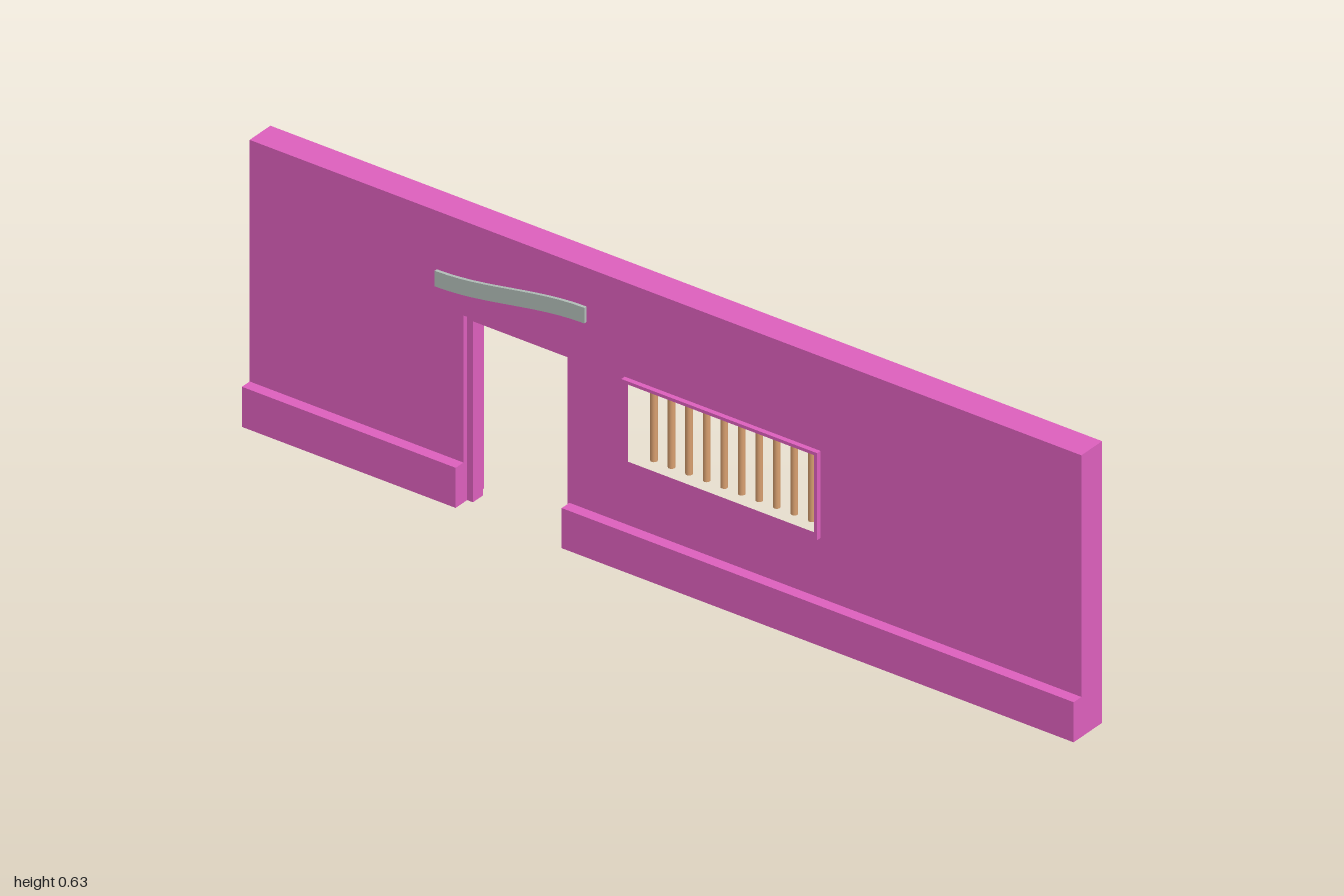
import * as THREE from 'three';

const pink = new THREE.MeshStandardMaterial({ color: 0xdd60bd });
const grey = new THREE.MeshStandardMaterial({ color: 0xb4c0ba });
const tan = new THREE.MeshStandardMaterial({ color: 0xd9a070 });

// Closed outline from [z, y] points; the shape plane looks along x
const outline = (points, Type = THREE.Shape) =>
  new Type(points.map(([z, y]) => new THREE.Vector2(-z, y)));

const rect = (z0, z1, y0, y1) => [[z0, y0], [z1, y0], [z1, y1], [z0, y1]];

// Slab with the given outline and holes, spanning x0 to x1
function slab(name, points, x0, x1, material, holes = []) {
  const shape = outline(points);
  shape.holes = holes.map((h) => outline(h, THREE.Path));
  const geometry = new THREE.ExtrudeGeometry(shape, { depth: x1 - x0, bevelEnabled: false });
  geometry.rotateY(Math.PI / 2).translate(x0, 0, 0);
  const mesh = new THREE.Mesh(geometry, material);
  mesh.name = name;
  return mesh;
}

export function createModel() {
  const group = new THREE.Group();
  group.name = 'wallWithDoorAndWindow';

  const back = -0.022, front = 0.045, height = 0.632;
  const door = { z0: -0.486, z1: -0.231, top: 0.42 };
  const opening = rect(-0.09, 0.365, 0.232, 0.413);

  // Wall with a doorway and a window opening
  group.add(slab('wall', [
    [1, 0], [1, height], [-1, height], [-1, 0],
    [door.z0, 0], [door.z0, door.top], [door.z1, door.top], [door.z1, 0],
  ], back, front, pink, [opening]));

  // Baseboards on either side of the doorway
  for (const [z0, z1] of [[-1, door.z0], [door.z1, 1]]) {
    group.add(slab('baseboard', rect(z0, z1, 0, 0.09), -0.047, back, pink));
  }

  // Door frame set inside the doorway
  const t = 0.014;
  group.add(slab('doorFrame', [
    [door.z0, 0], [door.z0, door.top], [door.z1, door.top], [door.z1, 0],
    [door.z1 - t, 0], [door.z1 - t, door.top - t], [door.z0 + t, door.top - t], [door.z0 + t, 0],
  ], -0.01, 0.022, pink));

  // Narrow raised rim around the window
  group.add(slab('windowRim', rect(-0.098, 0.373, 0.225, 0.42), -0.033, back, pink, [opening]));

  // Window bars
  const barGeometry = new THREE.CylinderGeometry(0.0075, 0.0075, 0.181, 12);
  for (let i = 0; i < 10; i++) {
    const bar = new THREE.Mesh(barGeometry, tan);
    bar.name = 'windowBar';
    bar.position.set(0.012, 0.3225, -0.053 + i * 0.0422);
    group.add(bar);
  }

  // Wavy plaque above the doorway
  const lower = [], upper = [];
  for (let i = 0; i <= 12; i++) {
    const z = -0.55 + (0.36 * i) / 12;
    const y = 0.466 + 0.044 * THREE.MathUtils.smoothstep(i, 0, 12);
    lower.push([z, y]);
    upper.unshift([z, y + 0.035]);
  }
  group.add(slab('wavyPlaque', [...lower, ...upper], -0.029, back, grey));

  return group;
}
